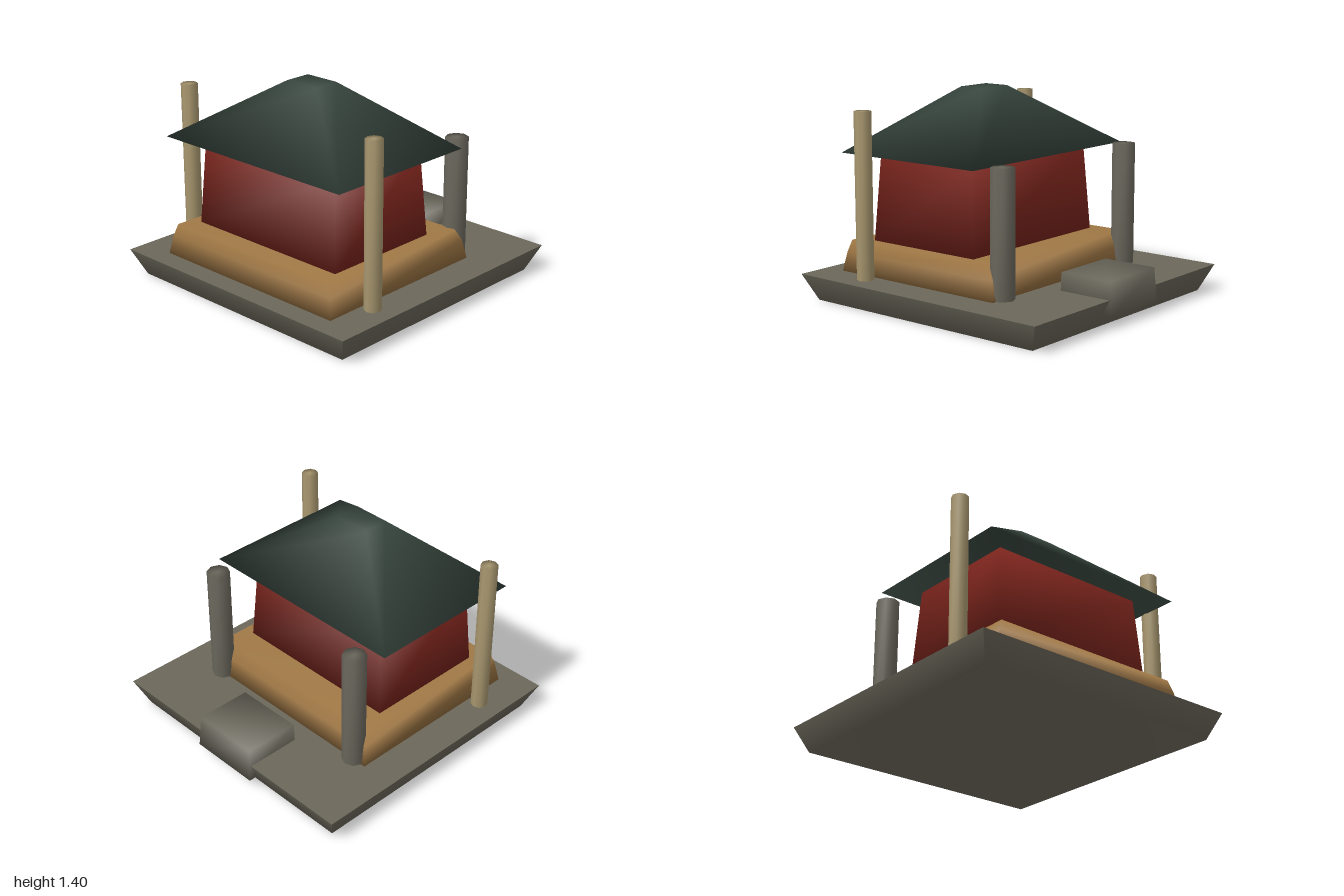
import * as THREE from 'three';
import { mergeVertices, toCreasedNormals } from 'three/addons/utils/BufferGeometryUtils.js';

const material = (color) => new THREE.MeshStandardMaterial({ color });

// Closed solid through rectangular rings [y, xHalf, zBack, zFront], bottom to top, soft shaded
function loft(rings) {
  const pos = [];
  const index = [0, 2, 1, 0, 3, 2];
  for (const [y, x, z0, z1] of rings) pos.push(-x, y, z1, x, y, z1, x, y, z0, -x, y, z0);
  for (let r = 0; r < rings.length - 1; r++) {
    for (let i = 0; i < 4; i++) {
      const a = r * 4 + i, b = r * 4 + (i + 1) % 4;
      index.push(a, b, b + 4, a, b + 4, a + 4);
    }
  }
  const t = (rings.length - 1) * 4;
  index.push(t, t + 1, t + 2, t, t + 2, t + 3);
  const geo = new THREE.BufferGeometry();
  geo.setAttribute('position', new THREE.Float32BufferAttribute(pos, 3));
  geo.setIndex(index);
  geo.computeVertexNormals();
  return geo;
}

// Eight-sided post with normals shared between shaft and caps
function postGeometry(radius, y0, y1) {
  let geo = new THREE.CylinderGeometry(radius, radius, y1 - y0, 8);
  geo.deleteAttribute('uv');
  geo.deleteAttribute('normal');
  geo = mergeVertices(geo);
  geo.computeVertexNormals();
  return geo.translate(0, (y0 + y1) / 2, 0);
}

export function createModel() {
  const model = new THREE.Group();
  model.name = 'pavilion';
  const add = (name, geo, mat, x = 0, z = 0) => {
    const mesh = new THREE.Mesh(geo, mat);
    mesh.name = name;
    mesh.position.set(x, 0, z);
    model.add(mesh);
  };

  // Stone slab, flaring outward to a crisp top edge
  const slab = loft([[0, 0.91, -0.9, 0.92], [0.18, 0.99, -0.98, 1]]);
  add('baseSlab', toCreasedNormals(slab, 1.2), material(0x6b675a));

  // Timber plinth, walls and hipped roof
  add('plinth', loft([
    [0.18, 0.75, -0.46, 0.855],
    [0.31, 0.727, -0.433, 0.83],
    [0.39, 0.7, -0.388, 0.81],
  ]), material(0xa07845));
  add('walls', loft([[0.39, 0.62, -0.192, 0.677], [0.99, 0.575, -0.16, 0.647]]), material(0x7a241c));
  add('roof', loft([[0.99, 0.78, -0.33, 0.81], [1.405, 0.127, 0.148, 0.335]]), material(0x38463f));

  // Step set into the back edge of the slab
  add('backStep', loft([[0.075, 0.253, -1, -0.6], [0.3, 0.24, -0.983, -0.6]]), material(0x6b685c));

  // Tall slim front poles and shorter thick rear pillars
  const poleGeo = postGeometry(0.057, 0.17, 1.29), poleMat = material(0xa8976f);
  const pillarGeo = postGeometry(0.078, 0.17, 1.01), pillarMat = material(0x6a675c);
  for (const [side, s] of [['left', 1], ['right', -1]]) {
    add(side + 'FrontPole', poleGeo, poleMat, s * 0.828, 0.56);
    add(side + 'RearPillar', pillarGeo, pillarMat, s * 0.643, -0.452);
  }
  return model;
}
